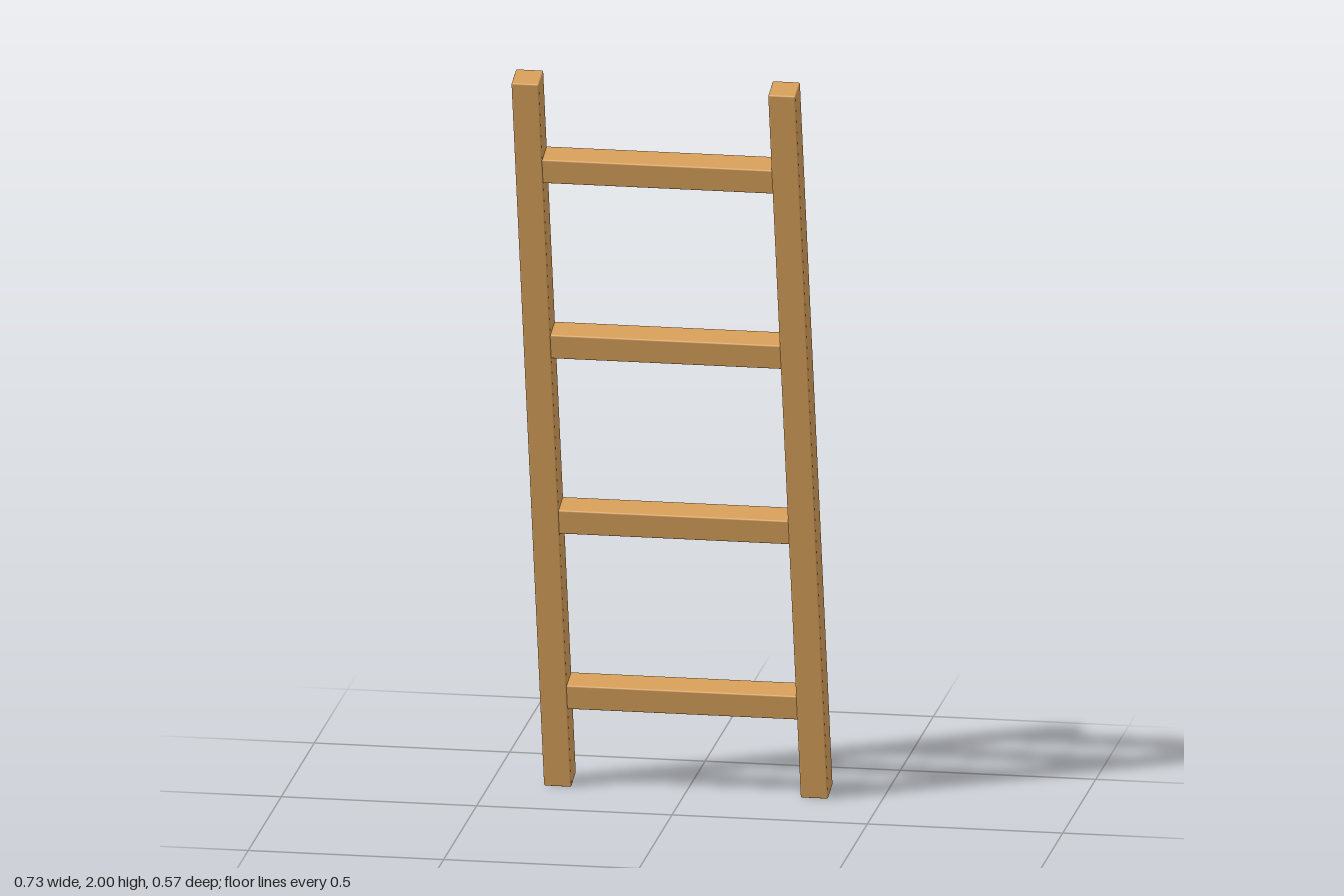
import * as THREE from 'three';
import { RoundedBoxGeometry } from 'three/addons/geometries/RoundedBoxGeometry.js';

const LEAN = THREE.MathUtils.degToRad(14);
const BEVEL = 0.004;

export function createModel() {
  const model = new THREE.Group();
  model.name = 'ladder';
  const wood = new THREE.MeshStandardMaterial({ color: 0xd49d58 });

  // Built upright around its centre, then leaned forward as a whole
  const frame = new THREE.Group();
  frame.name = 'leaningFrame';
  frame.position.y = 1;
  frame.rotation.x = LEAN;
  model.add(frame);

  const addBeam = (name, w, h, d, x, y) => {
    const beam = new THREE.Mesh(new RoundedBoxGeometry(w, h, d, 2, BEVEL), wood);
    beam.name = name;
    beam.position.set(x, y, 0);
    frame.add(beam);
  };

  // Side rails
  addBeam('leftRail', 0.07, 2.044, 0.075, 0.3285, 0);
  addBeam('rightRail', 0.07, 2.044, 0.075, -0.3285, 0);

  // Four evenly spaced rungs, ends just inside the rails
  for (let i = 0; i < 4; i++) {
    addBeam(`rung${i + 1}`, 0.594, 0.068, 0.072, 0, -0.762 + i * 0.51);
  }

  return model;
}
